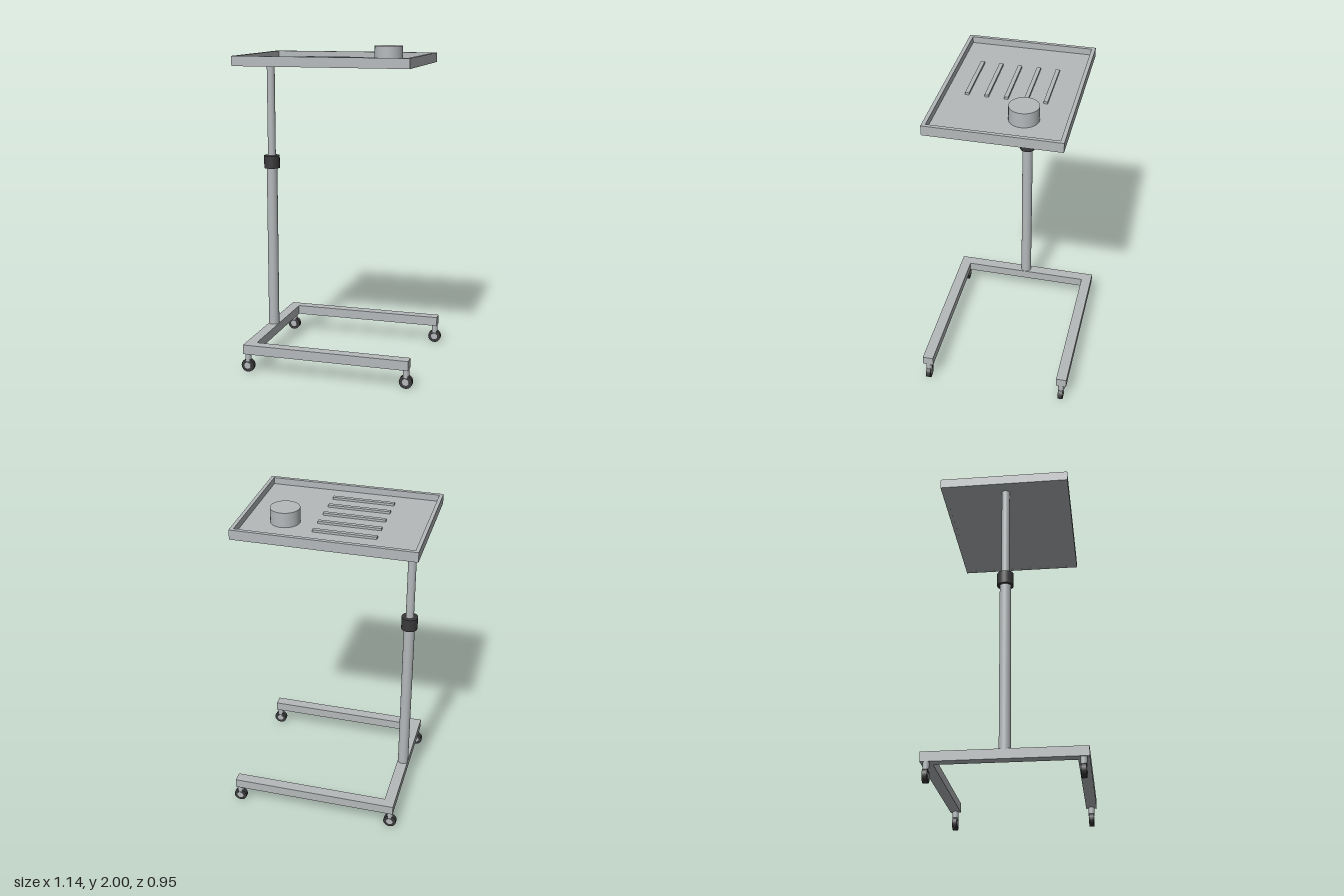
import * as THREE from 'three';

const metal = new THREE.MeshStandardMaterial({ color: 0xb5b9bb });
metal.name = 'light grey metal';
const rubber = new THREE.MeshStandardMaterial({ color: 0x3a3a3c });
rubber.name = 'dark rubber';

export function createModel() {
  const model = new THREE.Group();
  model.name = 'overbedTable';

  const add = (name, geometry, material, x, y, z, parent = model) => {
    const mesh = new THREE.Mesh(geometry, material);
    mesh.name = name;
    mesh.position.set(x, y, z);
    parent.add(mesh);
    return mesh;
  };
  // Upright cylinder between two heights
  const post = (name, r, y0, y1, x, z, material, parent) =>
    add(name, new THREE.CylinderGeometry(r, r, y1 - y0, 32), material, x, (y0 + y1) / 2, z, parent);
  // Plan outline (x, z) raised into a slab from y0 to y1
  const slab = (name, shape, y0, y1) => {
    const g = new THREE.ExtrudeGeometry(shape, { depth: y1 - y0, bevelEnabled: false });
    g.rotateX(-Math.PI / 2);
    return add(name, g, metal, 0, y0, 0);
  };
  const outline = (points) => points.map(([x, z]) => new THREE.Vector2(x, -z));
  const rect = (x0, x1, z0, z1) => outline([[x0, z0], [x0, z1], [x1, z1], [x1, z0]]);

  // U-shaped base frame, open towards +x
  slab('baseFrame', new THREE.Shape(outline([
    [-0.5, -0.475], [-0.5, 0.473], [0.547, 0.473], [0.547, 0.406],
    [-0.433, 0.406], [-0.433, -0.409], [0.547, -0.409], [0.547, -0.475],
  ])), 0.122, 0.181);

  // Telescopic column
  const cx = -0.468;
  post('lowerColumn', 0.034, 0.172, 1.23, cx, 0, metal);
  post('upperColumn', 0.025, 1.22, 1.9, cx, 0, metal);
  post('heightCollar', 0.05, 1.222, 1.303, cx, 0, rubber);

  // Tray: raised rim around a sunken floor
  const rim = new THREE.Shape(rect(-0.57, 0.516, -0.399, 0.395));
  rim.holes.push(new THREE.Path(rect(-0.548, 0.494, -0.376, 0.372)));
  slab('trayRim', rim, 1.89, 1.95);
  slab('trayFloor', new THREE.Shape(rect(-0.56, 0.505, -0.388, 0.384)), 1.8905, 1.91);

  // Raised grip ribs
  for (let i = 0; i < 5; i++) {
    add('gripRib', new THREE.BoxGeometry(0.377, 0.014, 0.024), metal, -0.111, 1.917, -0.213 + i * 0.1153);
  }

  // Round cup
  post('cup', 0.088, 1.905, 2, 0.266, -0.128, metal);

  // Four casters
  for (const x of [-0.478, 0.528]) {
    for (const z of [-0.441, 0.439]) {
      const caster = new THREE.Group();
      caster.name = 'caster';
      caster.position.set(x, 0, z);
      model.add(caster);
      post('casterStem', 0.019, 0.07, 0.124, 0, 0, metal, caster);
      add('casterWheel', new THREE.CylinderGeometry(0.041, 0.041, 0.03, 24), rubber, 0, 0.043, 0, caster)
        .rotation.x = Math.PI / 2;
      add('casterHub', new THREE.CylinderGeometry(0.021, 0.021, 0.036, 20), metal, 0, 0.043, 0, caster)
        .rotation.x = Math.PI / 2;
    }
  }
  return model;
}
